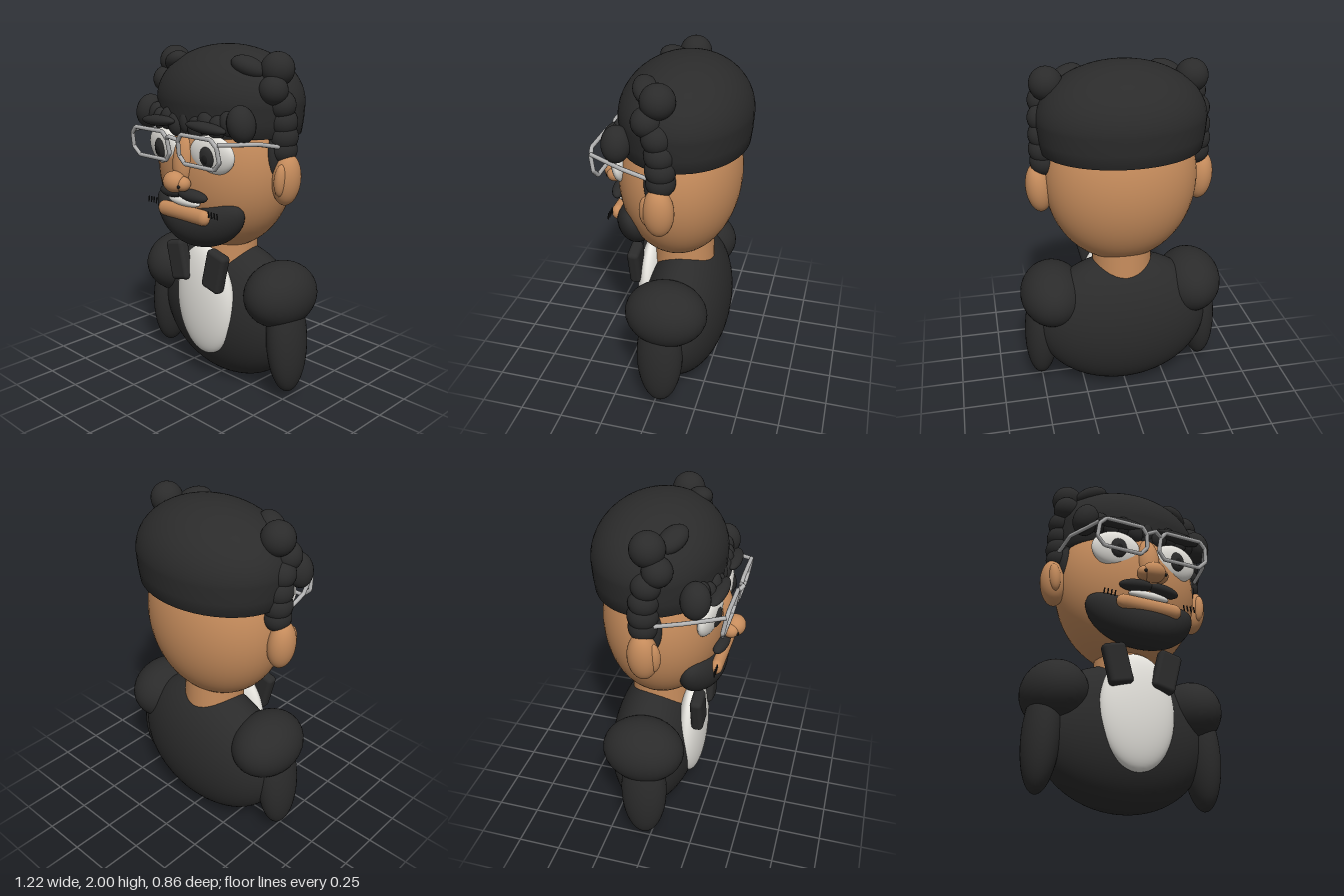
import * as THREE from 'three';
import { RoundedBoxGeometry } from 'three/addons/geometries/RoundedBoxGeometry.js';

const mat = (name, color) => {
  const m = new THREE.MeshStandardMaterial({ color });
  m.name = name;
  return m;
};

export function createModel() {
  const model = new THREE.Group();
  model.name = 'bust';
  const black = mat('black', 0x2b2b2b);
  const skin = mat('skin', 0xc68c5c);
  const white = mat('white', 0xe6e4de);
  const silver = mat('silver', 0xb4b4b4);
  const pupilBlack = mat('pupil black', 0x1c1c1c);

  const add = (name, geo, material, pos = [0, 0, 0], rot = [0, 0, 0]) => {
    const mesh = new THREE.Mesh(geo, material);
    mesh.name = name;
    mesh.position.set(...pos);
    mesh.rotation.set(...rot);
    model.add(mesh);
    return mesh;
  };
  const ball = (name, material, pos, r, rot, seg = 32) =>
    add(name, new THREE.SphereGeometry(1, seg, seg * 0.75).scale(...r), material, pos, rot);
  // mirrored ellipsoids, described for the +x side
  const pair = (name, material, [x, y, z], r, [a, b, c] = [0, 0, 0], seg = 32) => {
    ball('left' + name, material, [x, y, z], r, [a, b, c], seg);
    ball('right' + name, material, [-x, y, z], r, [a, -b, -c], seg);
  };
  const tube = (name, pts, closed = false) => {
    const path = new THREE.CurvePath();
    const v = pts.map((p) => new THREE.Vector3(...p));
    const n = closed ? v.length : v.length - 1;
    for (let i = 0; i < n; i++) path.add(new THREE.LineCurve3(v[i], v[(i + 1) % v.length]));
    add(name, new THREE.TubeGeometry(path, n * 12, 0.012, 8, closed), silver);
  };

  // torso, shoulders and arms
  ball('torso', black, [0, 0.428, -0.085], [0.52, 0.428, 0.258], [0, 0, 0], 48);
  pair('Shoulder', black, [0.42, 0.62, -0.055], [0.19, 0.19, 0.237]);
  pair('Arm', black, [0.49, 0.37, -0.035], [0.104, 0.322, 0.135], [0, 0, 0.06]);
  ball('shirtFront', white, [0, 0.52, 0.135], [0.225, 0.34, 0.083], [0, 0, 0], 40);
  for (const s of [1, -1]) {
    add(s > 0 ? 'leftLapel' : 'rightLapel', new RoundedBoxGeometry(0.14, 0.24, 0.07, 4, 0.025),
      black, [s * 0.15, 0.752, 0.2], [0, 0, -s * 0.24]);
  }
  add('neck', new THREE.CylinderGeometry(0.17, 0.18, 0.24, 32), skin, [0, 0.82, -0.06]);

  // head and ears
  ball('head', skin, [0, 1.33, -0.035], [0.435, 0.5, 0.348], [0, 0, 0], 48);
  pair('Ear', skin, [0.465, 1.3, -0.03], [0.075, 0.145, 0.085], [0, 0, -0.08]);
  pair('InnerEar', skin, [0.475, 1.305, 0.03], [0.035, 0.09, 0.04], [0, 0, -0.08]);

  // hair cap: upper dome with a nearly straight, closed lower band
  const profile = [new THREE.Vector2(0, -0.165), new THREE.Vector2(0.9, -0.165), new THREE.Vector2(0.96, -0.165)];
  profile.push(new THREE.Vector2(0.985, -0.09));
  for (let i = 0; i <= 20; i++) {
    const a = (i / 20) * Math.PI / 2;
    profile.push(new THREE.Vector2(i === 20 ? 0 : Math.cos(a), 0.31 * Math.sin(a)));
  }
  add('hairCap', new THREE.LatheGeometry(profile, 48).scale(0.47, 1, 0.365), black, [0, 1.69, -0.065]);

  // curls down each side: x, y, z, radius
  [
    [0.4, 1.885, -0.015, 0.092], [0.42, 1.78, 0.04, 0.08], [0.43, 1.7, -0.015, 0.08],
    [0.43, 1.61, -0.03, 0.082], [0.43, 1.53, -0.035, 0.084], [0.43, 1.46, -0.035, 0.08],
  ].forEach(([x, y, z, r], i) => pair('SideCurl' + (i + 1), black, [x, y, z], [r, r, r], [0, 0, 0], 24));
  pair('TopCurl', black, [0.28, 1.895, 0.08], [0.1, 0.055, 0.068], [0, 0.45, -0.35], 24);
  pair('Sideburn', black, [0.415, 1.43, 0.01], [0.035, 0.12, 0.05], [0, 0, 0], 24);

  // fringe
  pair('TempleCurl', black, [0.365, 1.615, 0.222], [0.075, 0.1, 0.08], [0, 0, 0.25], 24);
  [[0.285, 1.61, 0.235], [0.22, 1.585, 0.255], [0.15, 1.6, 0.265], [0.08, 1.575, 0.27]].forEach(([x, y, z], i) =>
    pair('FringeCurl' + (i + 1), black, [x, y, z], [0.055, 0.068, 0.045], [0, 0, i % 2 ? -0.3 : 0.3], 20));
  ball('middleFringeCurl', black, [0, 1.595, 0.262], [0.045, 0.07, 0.045], [0, 0, 0], 20);
  pair('Eyebrow', black, [0.19, 1.588, 0.31], [0.14, 0.03, 0.042], [0, 0.06, -0.06]);

  // eyes
  pair('Eye', white, [0.19, 1.437, 0.262], [0.145, 0.112, 0.045], [0.12, 0.15, 0]);
  pair('Pupil', black, [0.187, 1.43, 0.296], [0.05, 0.06, 0.026], [0.1, 0.1, 0], 24);
  pair('PupilCentre', pupilBlack, [0.187, 1.425, 0.308], [0.025, 0.032, 0.018], [0, 0, 0], 20);

  // nose
  ball('noseBridge', skin, [0, 1.39, 0.29], [0.068, 0.15, 0.06], [-0.15, 0, 0]);
  ball('noseTip', skin, [0, 1.277, 0.365], [0.07, 0.06, 0.06]);
  pair('NoseWing', skin, [0.05, 1.27, 0.35], [0.045, 0.042, 0.045], [0, 0, 0], 24);
  pair('Nostril', pupilBlack, [0.062, 1.262, 0.392], [0.01, 0.01, 0.008], [0, 0, 0], 12);

  // moustache, mouth and beard
  pair('Moustache', black, [0.085, 1.202, 0.31], [0.1, 0.035, 0.04], [0, 0.12, -0.06]);
  ball('teeth', white, [0, 1.155, 0.295], [0.125, 0.028, 0.03]);
  add('lip', new THREE.CapsuleGeometry(0.045, 0.31, 8, 20).scale(1, 1, 0.8), skin,
    [0, 1.088, 0.3], [0, 0, Math.PI / 2]);
  const beard = new THREE.SphereGeometry(1, 48, 32).scale(0.335, 0.135, 0.12);
  const p = beard.attributes.position;
  for (let i = 0; i < p.count; i++) {
    // ends curl up and back around the jaw
    const t = (p.getX(i) / 0.335) ** 2;
    p.setY(i, p.getY(i) * (1 + 0.3 * t) + 0.085 * t);
    p.setZ(i, p.getZ(i) - 0.05 * t);
  }
  beard.computeVertexNormals();
  add('beard', beard, black, [0, 1.01, 0.205], [0.22, 0, 0]);
  for (const s of [1, -1]) {
    for (let i = 0; i < 4; i++) {
      add('whisker', new THREE.CylinderGeometry(0.004, 0.004, 0.035, 6), pupilBlack,
        [s * (0.215 + i * 0.022), 1.122, 0.315], [0, 0, s * 0.15]);
    }
  }

  // glasses: octagonal rims leaning forward at the top, bridge and arms
  const rim = [[0.045, 1.51], [0.075, 1.548], [0.3, 1.548], [0.338, 1.51],
    [0.345, 1.43], [0.3, 1.386], [0.075, 1.386], [0.038, 1.43]];
  for (const s of [1, -1]) {
    const side = s > 0 ? 'left' : 'right';
    tube(side + 'Rim', rim.map(([x, y]) => [s * x, y, 0.355 + (y - 1.386) * 0.17]), true);
    tube(side + 'Arm', [[s * 0.338, 1.525, 0.375], [s * 0.375, 1.52, 0.3],
      [s * 0.44, 1.515, 0.17], [s * 0.455, 1.485, 0.03]]);
  }
  tube('glassesBridge', [[-0.045, 1.515, 0.375], [0, 1.53, 0.398], [0.045, 1.515, 0.375]]);

  return model;
}
